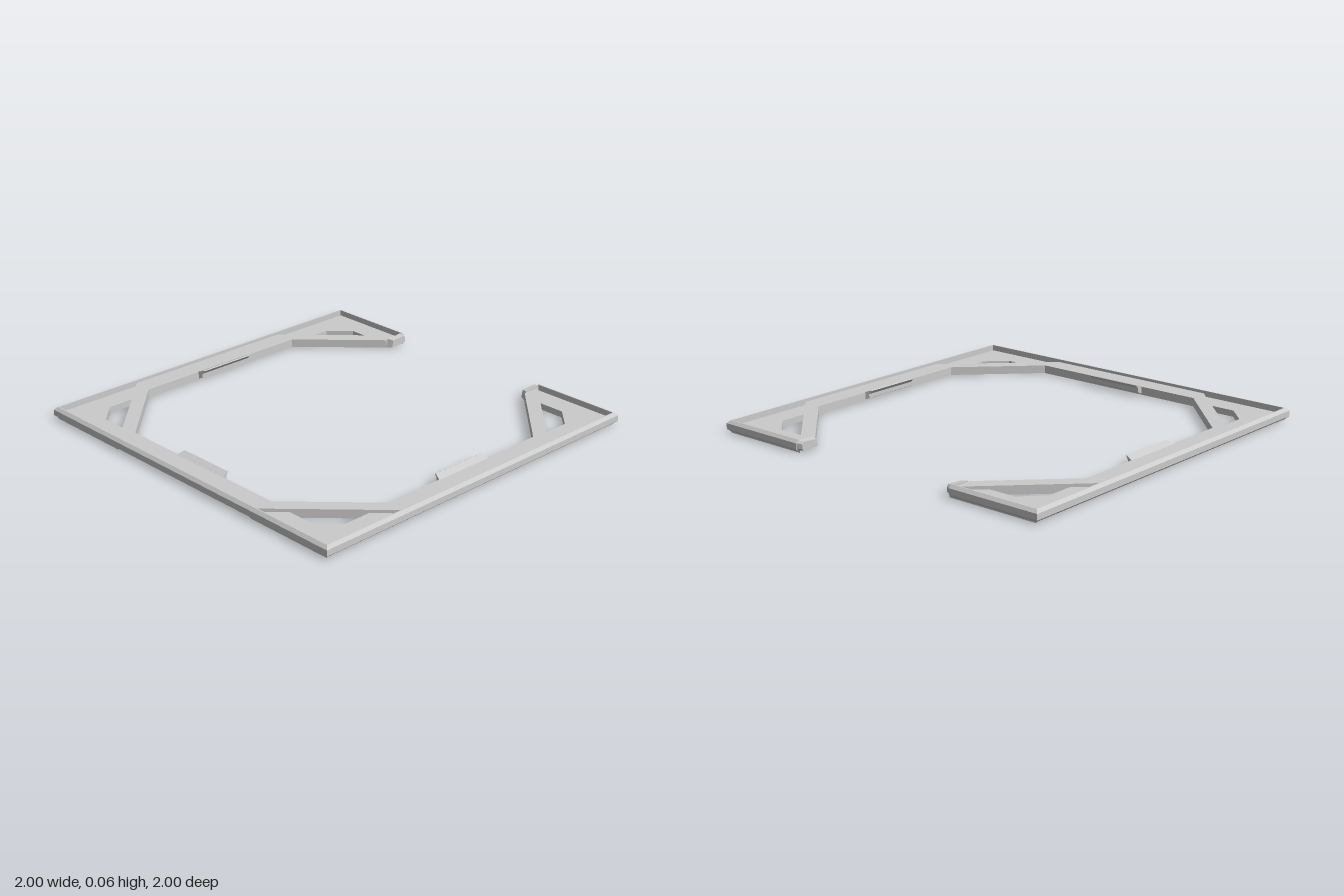
import * as THREE from 'three';

const FLOOR = 0.05;
const material = new THREE.MeshStandardMaterial({ color: 0xcccccc, flatShading: true });

// Solid between two copies of a 2D outline, each placed in space by a rule
function loft(outline, placeA, placeB) {
  const pts = outline.map(([a, b]) => new THREE.Vector2(a, b));
  if (THREE.ShapeUtils.isClockWise(pts)) pts.reverse();
  const n = pts.length;
  const verts = [...pts.map((p) => placeA(p.x, p.y)), ...pts.map((p) => placeB(p.x, p.y))]
    .map((p) => new THREE.Vector3(...p));
  const tris = [];
  for (const [a, b, c] of THREE.ShapeUtils.triangulateShape(pts, [])) {
    tris.push([c, b, a], [a + n, b + n, c + n]);
  }
  for (let i = 0; i < n; i++) {
    const j = (i + 1) % n;
    tris.push([i, j, j + n], [i, j + n, i + n]);
  }
  // Turn the faces outward whatever the placing rules mirrored
  let volume = 0;
  for (const [a, b, c] of tris) volume += verts[a].dot(verts[b].clone().cross(verts[c]));
  const order = volume < 0 ? tris.map(([a, b, c]) => [a, c, b]) : tris;
  const geometry = new THREE.BufferGeometry().setFromPoints(order.flat().map((i) => verts[i]));
  geometry.computeVertexNormals();
  return geometry;
}

// Flat plate drawn in plan (u along the side, v outward)
const plate = (outline, bottom, top) =>
  loft(outline, (u, v) => [u, bottom, v], (u, v) => [u, top, v]);

// Raised rim, bevelled outside, from u = start(v) to u = end(v)
const rimProfile = [[1, 0.02], [1, 0.05], [0.985, 0.065], [0.979, 0.065], [0.979, 0.01], [0.985, 0.007]];
const rim = (start, end) =>
  loft(rimProfile, (v, y) => [start(v), y, v], (v, y) => [end(v), y, v]);

// Hooked tab section, rising above the floor towards the middle
const tabProfile = [[0.875, 0.01], [0.848, 0.022], [0.848, 0.044], [0.833, 0.062], [0.838, 0.065], [0.875, FLOOR]];
const tabEnd = (v) => 0.168 - (0.875 - v) * 0.3;

// Half of the recessed corner outline; the other half swaps u and v
const cornerHalf = [[0.485, 0.985], [0.61, 0.86], [0.755, 0.86]];
const swapped = ([u, v]) => [v, u];
const cornerOutline = [
  [0.985, 0.985], ...cornerHalf, ...cornerHalf.map(swapped).reverse(),
];

// Half of a brace, reaching from a side bar to the corner diagonal
const braceHalf = [[0.5, 0.87], [0.685, 0.685], [0.735, 0.735], [0.485, 0.985]];
const mirrored = ([u, v]) => [-u, v];

export function createModel() {
  const model = new THREE.Group();
  const names = ['front', 'right', 'back', 'left'];

  names.forEach((name, k) => {
    const side = new THREE.Group();
    side.name = name + 'Side';
    side.rotation.y = (k * Math.PI) / 2;
    model.add(side);
    const add = (part, geometry) => {
      const mesh = new THREE.Mesh(geometry, material);
      mesh.name = part;
      side.add(mesh);
    };

    // Lower corner plate, edged by the corner opening
    add('cornerPlate', plate(cornerOutline, 0.001, 0.034));

    if (name === 'right') {
      // Half braces, rims and bevelled tips beside the open side
      for (const s of [1, -1]) {
        add('brace', plate(s > 0 ? braceHalf : braceHalf.map(mirrored), 0.006, FLOOR));
        add('rim', rim((v) => s * v, () => s * 0.495));
        add('braceTip', loft(
          [[0.87, 0.008], [0.985, 0.008], [0.998, 0.02], [0.998, FLOOR], [0.985, 0.062], [0.88, 0.056]],
          (v, y) => [s * 0.5, y, v],
          (v, y) => [s * 0.468, 0.036 + (y - 0.036) * 0.8, 0.935 + (v - 0.935) * 0.78],
        ));
      }
    } else {
      // Middle bar running into half a brace at each end
      add('barAndBraces', plate(
        [...braceHalf, ...braceHalf.map(mirrored).reverse()], 0.006, FLOOR,
      ));
      add('rim', rim((v) => -v, (v) => v));
      add('tab', loft(
        tabProfile,
        (v, y) => [-tabEnd(v), y, v],
        (v, y) => [tabEnd(v), y, v],
      ));
    }
  });
  return model;
}
